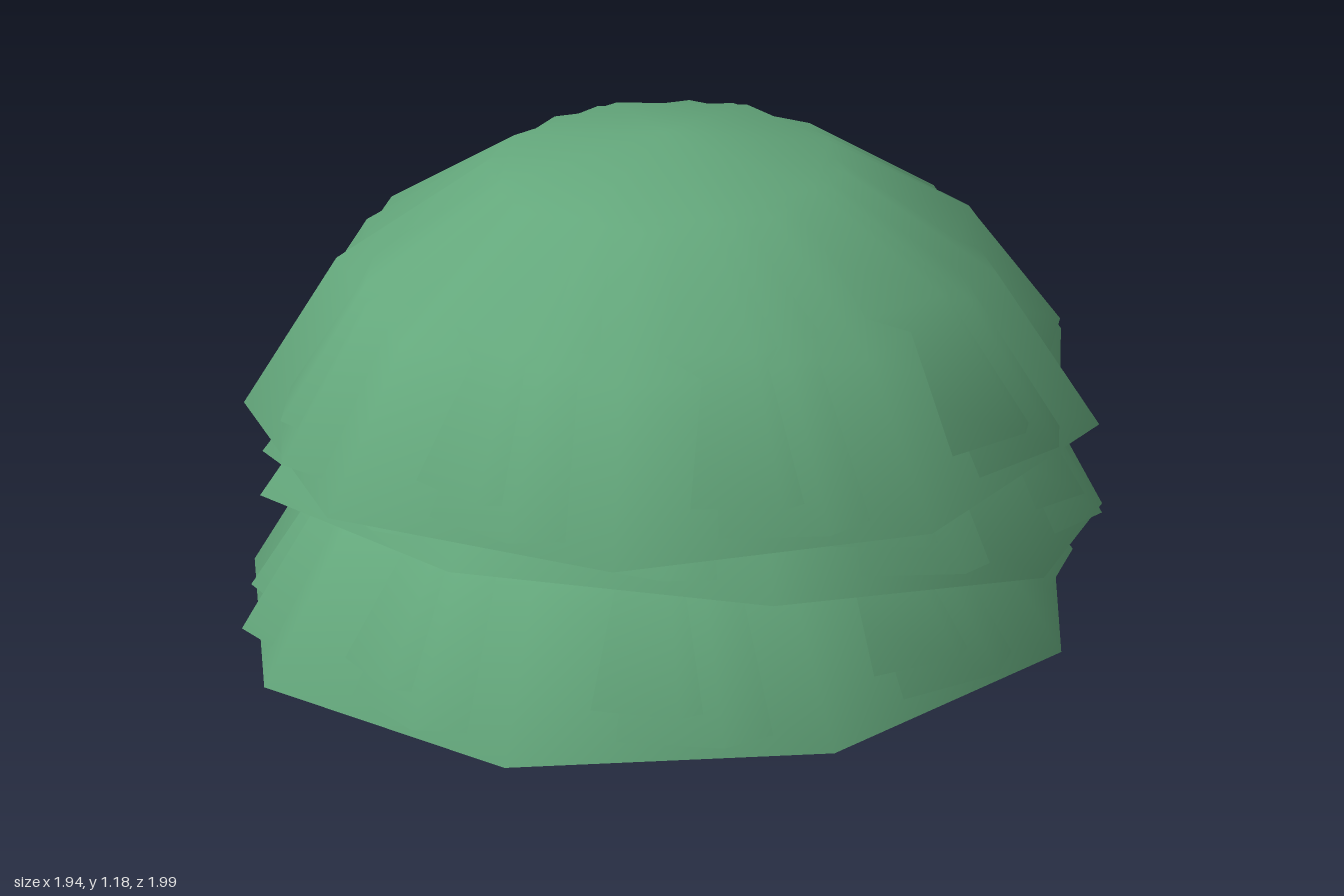
import * as THREE from 'three';

const SWEEP = THREE.MathUtils.degToRad(70); // how far each cap reaches down from its apex
const RADIUS = 0.97 / Math.sin(SWEEP);
const HEIGHT = RADIUS * (1 - Math.cos(SWEEP));

// open eight-sided cap with its apex at the origin
function capGeometry() {
  const geometry = new THREE.SphereGeometry(RADIUS, 8, 3, 0, Math.PI * 2, 0, SWEEP);
  return geometry.translate(0, -RADIUS, 0);
}

export function createModel() {
  const model = new THREE.Group();
  model.name = 'layeredBush';
  const leaf = new THREE.MeshStandardMaterial({ color: 0x64a87c, side: THREE.DoubleSide });
  const cap = capGeometry();

  // nested shells in each layer: they share an apex, and the corners of the
  // shorter ones poke out between the corners of the outer one
  const shells = [
    { name: 'outerShell', width: 1, height: 1, twist: 0 },
    { name: 'middleShell', width: 0.975, height: 0.94, twist: -15 },
    { name: 'innerShell', width: 0.94, height: 0.845, twist: 24 },
  ];

  // layers: rim centre, rim slope along x and z, turn in degrees
  const layers = [
    { name: 'bottomLayer', at: [-0.025, 0.05, 0.03], slope: [0.025, -0.035], turn: 0 },
    { name: 'middleLayer', at: [0, 0.28, -0.05], slope: [-0.012, 0.15], turn: -12 },
    { name: 'topLayer', at: [0, 0.51, 0.01], slope: [0.025, -0.01], turn: 13 },
  ];

  for (const { name, at, slope, turn } of layers) {
    const layer = new THREE.Group();
    layer.name = name;
    layer.position.set(...at);
    layer.rotation.set(-Math.atan(slope[1]), 0, Math.atan(slope[0]));
    for (const shell of shells) {
      const mesh = new THREE.Mesh(cap, leaf);
      mesh.name = shell.name;
      mesh.position.y = HEIGHT;
      mesh.scale.set(shell.width, shell.height, shell.width);
      mesh.rotation.y = THREE.MathUtils.degToRad(turn + shell.twist);
      layer.add(mesh);
    }
    model.add(layer);
  }
  return model;
}
